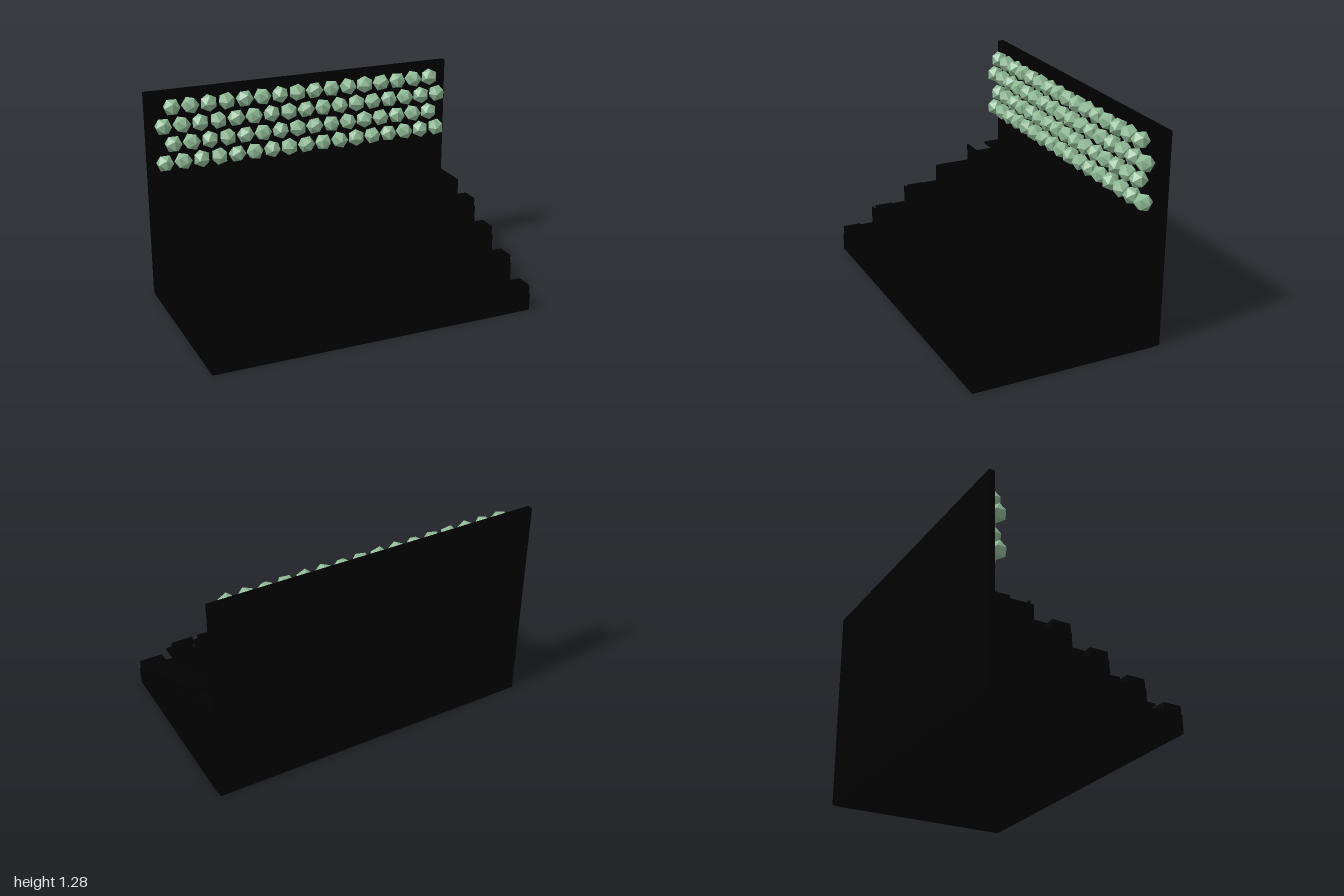
import * as THREE from 'three';

const TIERS = 5, RISE = 0.107, RUN = 0.2275, FRONT = 0.585, WALL_Z = -0.55;

export function createModel() {
  const model = new THREE.Group();
  model.name = 'grandstand';
  const black = new THREE.MeshStandardMaterial({ color: 0x000000 });
  black.name = 'black';
  const green = new THREE.MeshStandardMaterial({ color: 0x8fb996, flatShading: true });
  green.name = 'sage green';

  const box = (parent, name, w, h, d, x, y, z) => {
    const mesh = new THREE.Mesh(new THREE.BoxGeometry(w, h, d), black);
    mesh.name = name;
    mesh.position.set(x, y, z);
    parent.add(mesh);
  };

  // Stepped stand: staircase profile (drawn with -z to the right) swept across x
  const profile = new THREE.Shape();
  profile.moveTo(-FRONT, 0);
  for (let i = 0; i < TIERS; i++) {
    const front = -FRONT + i * RUN;
    profile.lineTo(front, (i + 1) * RISE);
    profile.lineTo(i < TIERS - 1 ? front + RUN : -WALL_Z, (i + 1) * RISE);
  }
  profile.lineTo(-WALL_Z, 0);
  const standGeo = new THREE.ExtrudeGeometry(profile, { depth: 2, bevelEnabled: false });
  standGeo.translate(0, 0, -1).rotateY(Math.PI / 2);
  const stand = new THREE.Mesh(standGeo, black);
  stand.name = 'tieredStand';
  model.add(stand);

  // Back wall
  box(model, 'backWall', 1.99, 1.283, 0.035, 0, 0.6415, -0.5675);

  // Aisle half steps at both ends
  for (let i = 0; i < TIERS - 1; i++) {
    for (const side of [-1, 1]) {
      box(model, 'aisleStep', 0.145, 0.054, 0.112, side * 0.9225, (i + 1) * RISE + 0.027, 0.526 - i * RUN);
    }
  }

  // Rows of seats: post, pan and thin back
  for (let i = 0; i < TIERS; i++) {
    const row = new THREE.Group();
    row.name = 'seatRow';
    row.position.set(0, (i + 1) * RISE, 0.485 - i * RUN);
    for (let k = 0; k < 10; k++) {
      const x = (k - 4.5) * 0.17;
      box(row, 'seatPost', 0.027, 0.11, 0.027, x, 0.055, 0);
      box(row, 'seatPan', 0.135, 0.013, 0.112, x, 0.115, 0);
      box(row, 'seatBack', 0.135, 0.115, 0.01, x, 0.171, -0.051);
    }
    model.add(row);
  }

  // Staggered rows of faceted balls in front of the wall
  const ballGeo = new THREE.IcosahedronGeometry(0.055, 0);
  for (let r = 0; r < 4; r++) {
    const count = r % 2 ? 16 : 17;
    for (let k = 0; k < count; k++) {
      const ball = new THREE.Mesh(ballGeo, green);
      ball.name = 'facetedBall';
      ball.position.set((k - (count - 1) / 2) * 0.1133, 0.86 + r * 0.1133, -0.485);
      ball.rotation.y = (r * 17 + k) * 2.4;
      model.add(ball);
    }
  }
  return model;
}
